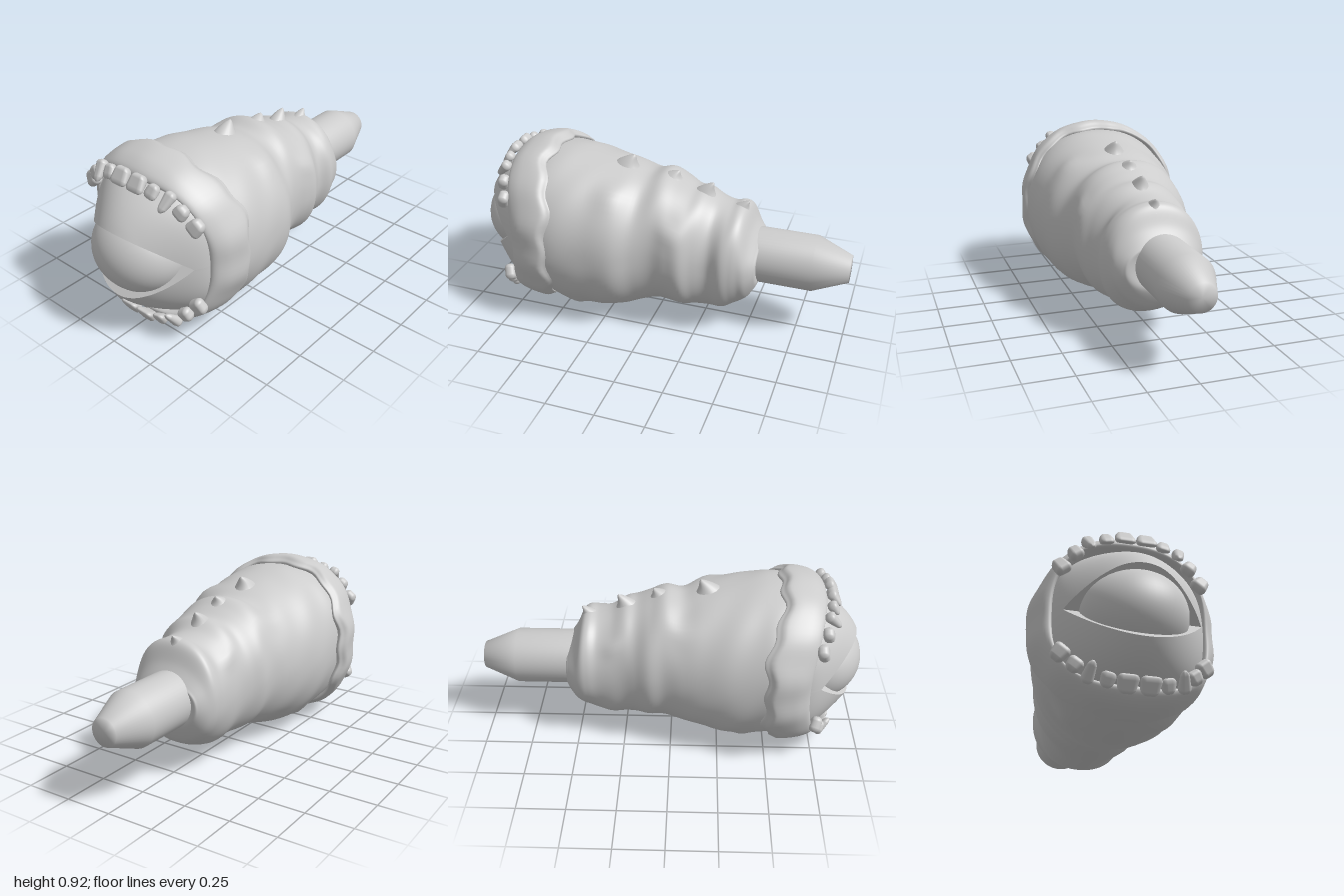
import * as THREE from 'three';
import { mergeVertices, toCreasedNormals } from 'three/addons/utils/BufferGeometryUtils.js';
import { RoundedBoxGeometry } from 'three/addons/geometries/RoundedBoxGeometry.js';

const grey = new THREE.MeshStandardMaterial({ color: 0xcccccc });
const TAU = Math.PI * 2;

function part(parent, name, geometry) {
  const mesh = new THREE.Mesh(geometry, grey);
  mesh.name = name;
  parent.add(mesh);
  return mesh;
}

// Skin over rows of points; point(i / rows, j / cols) returns [x, y, z]
function loft(rows, cols, closed, point) {
  const pos = [], index = [], n = closed ? cols : cols + 1;
  for (let i = 0; i <= rows; i++)
    for (let j = 0; j < n; j++) pos.push(...point(i / rows, j / cols));
  for (let i = 0; i < rows; i++)
    for (let j = 0; j < cols; j++) {
      const k = (j + 1) % n, a = i * n + j, b = i * n + k, c = a + n, d = b + n;
      index.push(a, b, c, b, d, c);
    }
  const g = new THREE.BufferGeometry();
  g.setAttribute('position', new THREE.Float32BufferAttribute(pos, 3));
  g.setIndex(index);
  g.computeVertexNormals();
  return g;
}

// Unit superellipse point at an angle
function superEllipse(t, n) {
  const c = Math.cos(t), s = Math.sin(t);
  const r = Math.pow(Math.abs(c) ** n + Math.abs(s) ** n, -1 / n);
  return [c * r, s * r];
}

// Fleshy body: [z, -x side, +x side, top, bottom] from rear to front
const sections = [
  [-0.535, -0.11, 0.11, 0.5, 0.32], [-0.547, -0.165, 0.18, 0.51, 0.29], [-0.535, -0.185, 0.205, 0.53, 0.25],
  [-0.5, -0.215, 0.235, 0.585, 0.19], [-0.465, -0.233, 0.25, 0.665, 0.155], [-0.43, -0.235, 0.265, 0.69, 0.135],
  [-0.38, -0.232, 0.278, 0.685, 0.11], [-0.31, -0.24, 0.255, 0.7, 0.093], [-0.24, -0.25, 0.285, 0.74, 0.095],
  [-0.18, -0.27, 0.325, 0.745, 0.1], [-0.11, -0.3, 0.325, 0.775, 0.098], [-0.03, -0.302, 0.32, 0.81, 0.093],
  [0.06, -0.328, 0.35, 0.79, 0.075], [0.16, -0.357, 0.405, 0.82, 0.04], [0.3, -0.39, 0.42, 0.848, 0.014],
  [0.44, -0.402, 0.435, 0.872, 0.02], [0.53, -0.41, 0.43, 0.875, 0.035], [0.62, -0.4, 0.41, 0.865, 0.05],
];
function makeBody() {
  const xs = new THREE.CatmullRomCurve3(sections.map(s => new THREE.Vector3(s[1], s[2], s[0])), false, 'catmullrom');
  const ys = new THREE.CatmullRomCurve3(sections.map(s => new THREE.Vector3(s[3], s[4], s[0])), false, 'catmullrom');
  // Warts: [z, angle, height, size]
  const warts = [[0.4, -0.95, 0.014, 0.05], [0.38, Math.PI + 0.95, 0.014, 0.05], [0.2, 0.9, 0.012, 0.07],
    [0.05, 2.3, 0.014, 0.07], [-0.12, 0.5, 0.014, 0.06], [-0.3, 2.5, 0.014, 0.05]];
  return loft(102, 72, true, (u, v) => {
    const t = v * TAU, { x: left, y: right, z } = xs.getPoint(u), { x: top, y: bottom } = ys.getPoint(u);
    const [cx, cy] = superEllipse(t, 2.12);
    let k = 1 + 0.012 * Math.sin(3 * t + z * 14) * Math.sin(z * 17 + 2 * t) * Math.abs(Math.sin(2 * t));
    for (const [wz, wt, h, size] of warts) {
      const d = Math.atan2(Math.sin(t - wt), Math.cos(t - wt)) * 0.38;
      k += h / 0.38 * Math.exp(-((z - wz) ** 2 + d * d) / (size * size));
    }
    return [(left + right) / 2 + cx * k * (right - left) / 2, (top + bottom) / 2 + cy * k * (top - bottom) / 2, z];
  });
}

// Thick lip: profile of [inner-to-outer fraction, back-to-front fraction]
const lipProfile = new THREE.SplineCurve([
  [0.1, 0.2], [0.45, 0.02], [0.66, -0.02], [0.8, 0.06], [0.95, 0.14], [1, 0.24], [0.95, 0.45], [0.78, 0.72],
  [0.48, 0.93], [0.2, 1], [0.04, 0.94], [0, 0.75], [-0.06, 0.35],
].map(p => new THREE.Vector2(...p)));
function makeLip() {
  return loft(44, 96, true, (u, v) => {
    const t = v * TAU, p = lipProfile.getPoint(u), s2 = Math.sin(t) ** 2;
    const o = superEllipse(t, 2.06), i = superEllipse(t, 3);
    const wave = 1 + 0.01 * Math.cos(t * 12 + 2.8) * (1 - s2);
    const back = 0.472 + 0.095 * s2 + 0.012 * Math.cos(6 * t) - 0.012 * Math.cos(14 * t), front = 0.7 + 0.085 * s2;
    return [
      THREE.MathUtils.lerp(i[0] * 0.36, o[0] * 0.457 * wave, p.x),
      0.46 + THREE.MathUtils.lerp(i[1] * 0.352, o[1] * 0.459, p.x),
      THREE.MathUtils.lerp(back, front, p.y),
    ];
  });
}

// Eyelid: half dome cut by a slanted plane through a hinge line; side is 1 upper, -1 lower
function makeLid(side, dy, dz) {
  const R = 0.365, hinge = 0.12, len = Math.hypot(dy, dz);
  const ny = dy / len, nz = dz / len;
  const mid = -hinge * nz, r = Math.sqrt(mid * mid + R * R - hinge * hinge);
  const start = Math.asin(-mid / r);
  const g = loft(20, 56, false, (u, v) => {
    const a = start + v * (Math.PI - 2 * start), w = mid + r * Math.sin(a);
    const edge = new THREE.Vector3(r * Math.cos(a), w * ny, hinge + w * nz);
    let p;
    if (u <= 0.7) {
      p = new THREE.Vector3(R * Math.cos(v * Math.PI), R * Math.sin(v * Math.PI), -0.02)
        .lerp(edge, u / 0.7).setLength(R);
      const k = 1 + 0.15 * Math.sin(2 * Math.atan2(p.y, p.x)) ** 2 * Math.max(0, 0.75 - p.z / R);
      p.x *= k;
      p.y *= k;
    } else {
      p = edge.lerp(new THREE.Vector3(0, 0, hinge), (u - 0.7) / 0.3);
    }
    // The dome narrows sideways toward its tip
    p.x *= 1 - 0.22 * THREE.MathUtils.smoothstep(p.z, 0.04, 0.3);
    return [side * p.x, 0.45 + side * p.y, 0.64 + p.z];
  });
  return toCreasedNormals(g, 0.7);
}

// Tooth pointing down -y with a rounded root; a fang narrows to its tip, front teeth thin to an edge
function makeTooth(w, h, kind) {
  let g = new RoundedBoxGeometry(w, h, 0.05, 5, 0.024);
  g.deleteAttribute('normal');
  g.deleteAttribute('uv');
  g = mergeVertices(g, 1e-5);
  const p = g.attributes.position;
  for (let i = 0; i < p.count; i++) {
    const t = 0.5 - p.getY(i) / h;
    const root = 1 - 0.35 * (1 - t) ** 3;
    p.setX(i, p.getX(i) * (kind === 'fang' ? root * (1.1 - 0.75 * t * t) : root));
    p.setZ(i, p.getZ(i) * (kind === 'molar' ? 1.1 : 1.2 - 0.75 * t));
  }
  g.computeVertexNormals();
  return g;
}

// Rounded thorn leaning toward the rear
function makeThorn(radius, height, lean) {
  return loft(12, 20, true, (u, v) => {
    const r = radius * (1 - u) ** 0.7, t = -v * TAU;
    return [r * Math.cos(t), u * height, r * Math.sin(t) * 1.25 - lean * u * u];
  });
}

export function createModel() {
  const model = new THREE.Group();
  model.name = 'eyeStalkCreature';

  part(model, 'body', makeBody());
  part(model, 'lip', makeLip());

  // Rear peg
  const pegProfile = [[0, -1], [0.071, -1], [0.145, -0.82], [0.145, -0.4]];
  const peg = new THREE.LatheGeometry(pegProfile.map(p => new THREE.Vector2(...p)), 48).rotateX(Math.PI / 2);
  part(model, 'rearPeg', peg).position.set(0, 0.407, 0);

  // Eye and lids
  const eye = part(model, 'eyeball', new THREE.SphereGeometry(1, 48, 32));
  eye.scale.set(0.255, 0.22, 0.23);
  eye.position.set(0, 0.45, 0.77);
  part(model, 'upperEyelid', makeLid(1, 0.17, 0.2));
  part(model, 'lowerEyelid', makeLid(-1, 0.19, 0.19));

  // Teeth: [x, upper y, lower y, z, width, height, turn, kind]
  const teeth = [
    [0.052, 0.832, 0.088, 0.822, 0.1, 0.09, 0, 'incisor'],
    [0.138, 0.818, 0.102, 0.812, 0.07, 0.074, 0.2, 'incisor'],
    [0.216, 0.79, 0.133, 0.805, 0.068, 0.11, 0.25, 'fang'],
    [0.277, 0.748, 0.174, 0.775, 0.076, 0.072, 0.6, 'molar'],
    [0.338, 0.682, 0.237, 0.75, 0.084, 0.084, 0.65, 'molar'],
  ];
  for (const [x, up, low, z, w, h, turn, kind] of teeth)
    for (const side of [1, -1])
      for (const upper of [true, false]) {
        const tooth = part(model, (upper ? 'upper' : 'lower') + 'Tooth', makeTooth(w, h, kind));
        tooth.position.set(side * x, upper ? up : low, z);
        tooth.rotation.set(kind === 'molar' ? -0.3 : -0.75, 0, upper ? -side * turn : Math.PI + side * turn, 'ZYX');
      }

  // Row of thorns along the back: [z, base y, radius, height]
  for (const [z, y, radius, height] of [[0.205, 0.795, 0.07, 0.085], [-0.035, 0.765, 0.066, 0.06],
    [-0.22, 0.7, 0.06, 0.085], [-0.41, 0.645, 0.052, 0.068]])
    part(model, 'backThorn', makeThorn(radius, height, 0.055)).position.set(0.015, y, z);

  return model;
}
